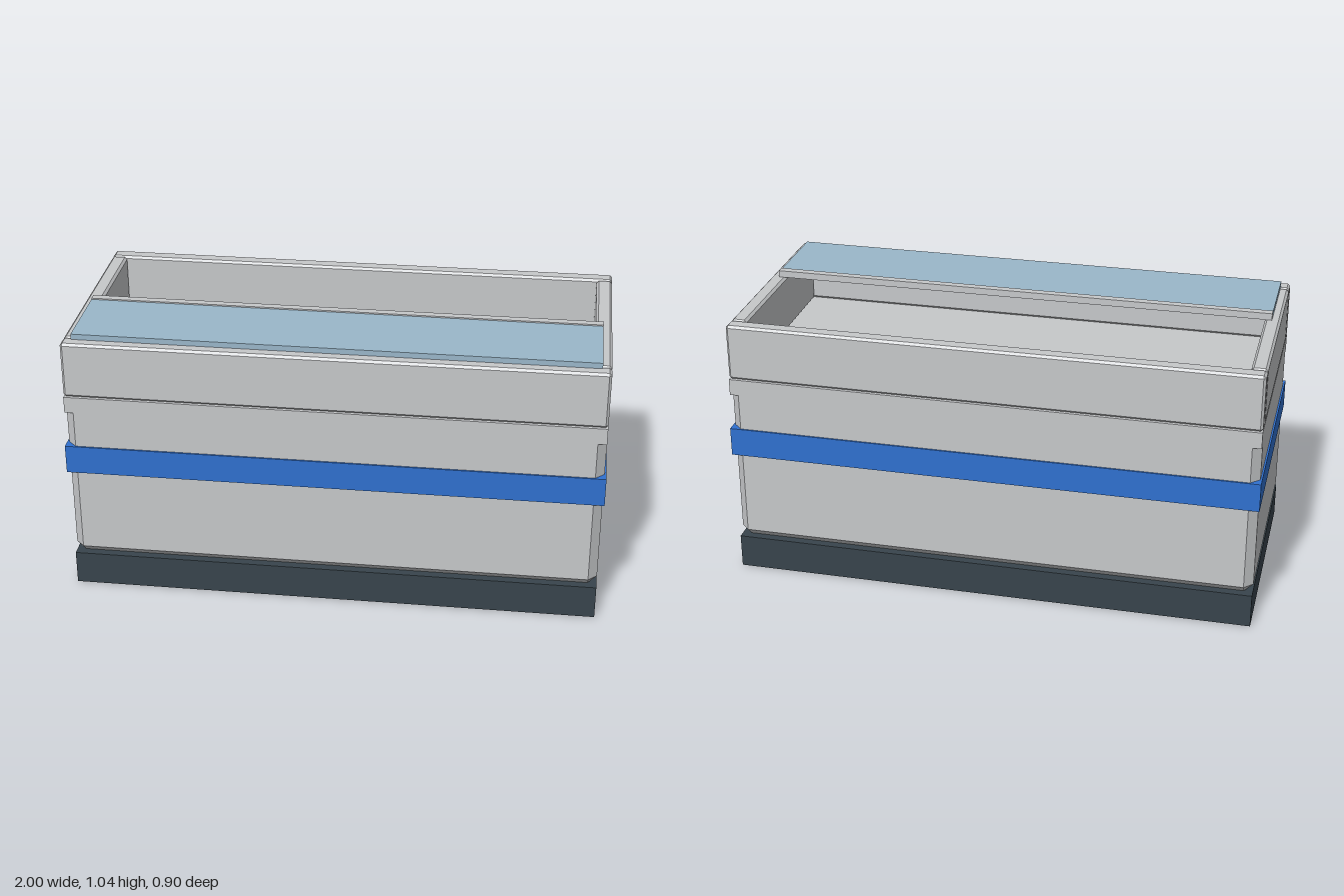
import * as THREE from 'three';
import { ConvexGeometry } from 'three/addons/geometries/ConvexGeometry.js';

const material = (name, color) => {
  const m = new THREE.MeshStandardMaterial({ color });
  m.name = name;
  return m;
};

// Box with every edge chamfered, given its limits on each axis
function chamferBox([x0, x1], [y0, y1], [z0, z1], c) {
  const centre = new THREE.Vector3(x0 + x1, y0 + y1, z0 + z1).multiplyScalar(0.5);
  const half = new THREE.Vector3(x1 - x0, y1 - y0, z1 - z0).multiplyScalar(0.5);
  const points = [];
  for (const sx of [-1, 1]) for (const sy of [-1, 1]) for (const sz of [-1, 1]) {
    for (let axis = 0; axis < 3; axis++) {
      const p = half.clone().subScalar(c);
      p.setComponent(axis, half.getComponent(axis));
      points.push(p.multiply(new THREE.Vector3(sx, sy, sz)).add(centre));
    }
  }
  return new ConvexGeometry(points);
}

// Body block with chamfered upright corners and a bevelled foot
function bodyGeometry(hx, hz, y0, y1, c) {
  const points = [];
  for (const sx of [-1, 1]) for (const sz of [-1, 1]) {
    points.push(new THREE.Vector3(sx * (hx - c), y0, sz * (hz - c)));
    for (const y of [y0 + c, y1]) {
      points.push(new THREE.Vector3(sx * hx, y, sz * (hz - c)));
      points.push(new THREE.Vector3(sx * (hx - c), y, sz * hz));
    }
  }
  return new ConvexGeometry(points);
}

function plainBox([x0, x1], [y0, y1], [z0, z1]) {
  return new THREE.BoxGeometry(x1 - x0, y1 - y0, z1 - z0)
    .translate((x0 + x1) / 2, (y0 + y1) / 2, (z0 + z1) / 2);
}

export function createModel() {
  const shell = material('light grey shell', 0xc6c8ca);
  const plinth = material('dark slate base', 0x38444c);
  const blue = material('blue band', 0x2f70cf);
  const pane = material('pale blue lid', 0x9ab7ca);

  const model = new THREE.Group();
  model.name = 'container';
  const add = (name, geometry, mat) => {
    const mesh = new THREE.Mesh(geometry, mat);
    mesh.name = name;
    model.add(mesh);
  };
  const hx = 0.993, hz = 0.443;

  // Base and body
  add('base', plainBox([-hx, hx], [0, 0.13], [-hz, hz]), plinth);
  add('body', bodyGeometry(hx, hz, 0.13, 0.737, 0.033), shell);
  add('bodyTop', plainBox([-hx, hx], [0.737, 0.8], [-hz, hz]), shell);
  add('band', plainBox([-1, 1], [0.488, 0.598], [-0.449, 0.449]), blue);

  // Open rim of four chamfered walls
  const rimY = [0.802, 1.017];
  const wall = 0.06, bevel = 0.009;
  add('frontWall', chamferBox([-hx, hx], rimY, [hz - wall, hz], bevel), shell);
  add('backWall', chamferBox([-hx, hx], rimY, [-hz, wall - hz], bevel), shell);
  add('leftWall', chamferBox([hx - wall, hx], rimY, [wall - hz, hz - wall], bevel), shell);
  add('rightWall', chamferBox([-hx, wall - hx], rimY, [wall - hz, hz - wall], bevel), shell);

  // Half lid with its edge strip
  add('lid', plainBox([-0.96, 0.96], [1.017, 1.038], [0.09, 0.4]), pane);
  add('lidStrip', plainBox([-0.96, 0.96], [1.017, 1.043], [0.06, 0.09]), shell);
  return model;
}
